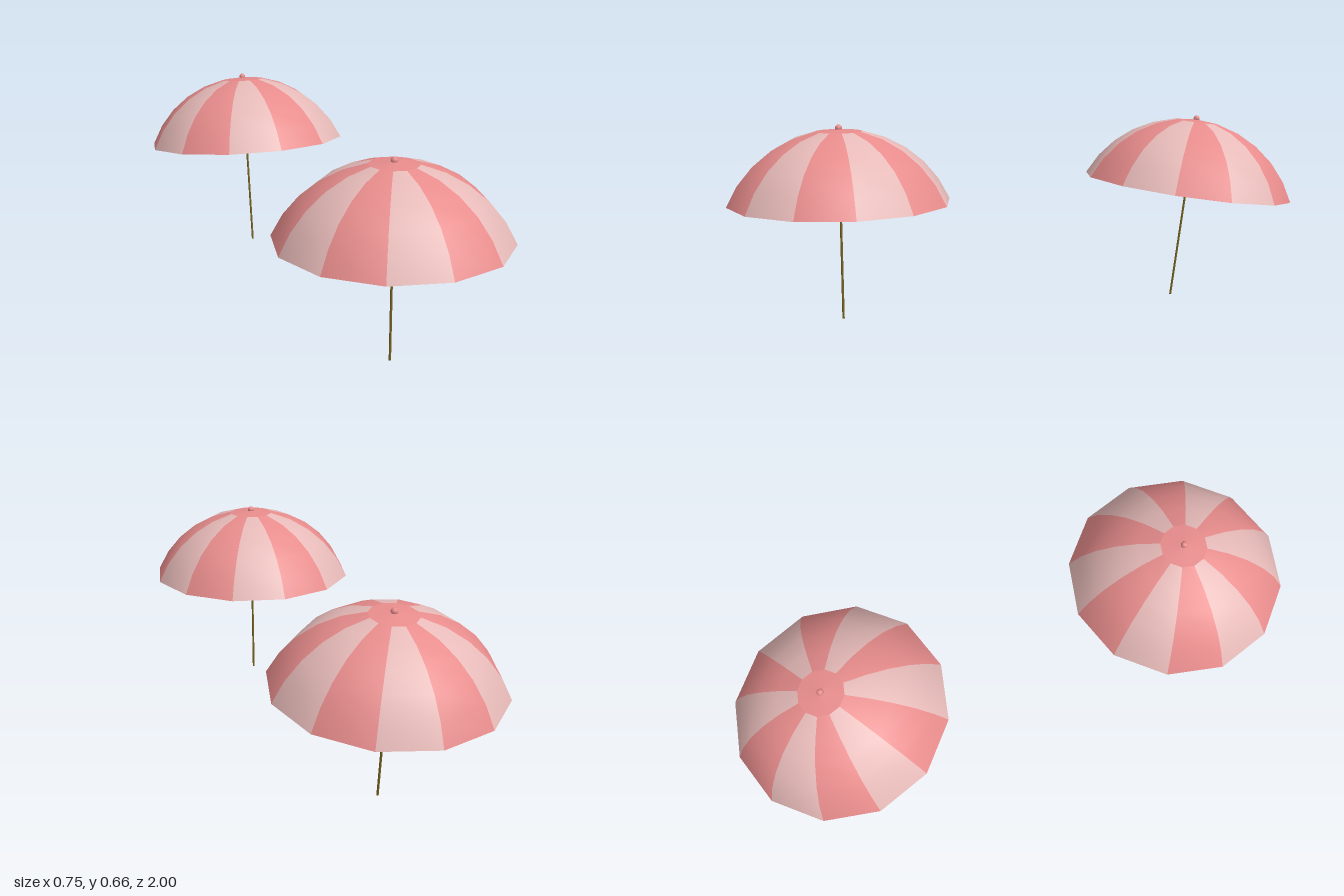
import * as THREE from 'three';

const RIM_Y = 0.4, RIM_R = 0.373, DOME_R = 0.405, DOME_Y = 0.242, SIDES = 12, RINGS = 6;
const GORE = (Math.PI * 2) / SIDES;

const red = new THREE.MeshStandardMaterial({ color: 0xe88c8c, side: THREE.DoubleSide });
const pale = new THREE.MeshStandardMaterial({ color: 0xe6bab8, side: THREE.DoubleSide });
const wood = new THREE.MeshStandardMaterial({ color: 0x7a6420 });

// Points on the dome's arc, from ring a (0 = rim) to ring b (RINGS = crown)
function arc(a, b) {
  const rimAngle = Math.asin(RIM_R / DOME_R);
  const points = [];
  for (let i = a; i <= b; i++) {
    const t = rimAngle * (1 - i / RINGS);
    points.push(new THREE.Vector2(DOME_R * Math.sin(t), DOME_Y + DOME_R * Math.cos(t)));
  }
  return points;
}

function add(parent, name, geometry, material, y = 0) {
  const mesh = new THREE.Mesh(geometry, material);
  mesh.name = name;
  mesh.position.y = y;
  parent.add(mesh);
  return mesh;
}

function createParasol(name) {
  const parasol = new THREE.Group();
  parasol.name = name;

  // Canopy: twelve gores in alternating colours around a plain crown
  const canopy = new THREE.Group();
  canopy.name = 'canopy';
  for (let k = 0; k < SIDES; k++) {
    const gore = new THREE.LatheGeometry(arc(0, RINGS - 1), 1, k * GORE, GORE);
    add(canopy, 'gore', gore, k % 2 ? pale : red);
  }
  add(canopy, 'crown', new THREE.LatheGeometry(arc(RINGS - 1, RINGS), SIDES), red);
  parasol.add(canopy);

  // Pole and the little knob on top
  add(parasol, 'pole', new THREE.CylinderGeometry(0.004, 0.004, 0.645, 8), wood, 0.3225);
  add(parasol, 'knob', new THREE.SphereGeometry(0.012, 8, 6), red, 0.65);
  return parasol;
}

export function createModel() {
  const model = new THREE.Group();
  model.name = 'parasols';

  const upright = createParasol('uprightParasol');
  upright.position.z = 0.627;
  model.add(upright);

  // The rear parasol leans back about the middle of its rim
  const lean = new THREE.Group();
  lean.name = 'leaningParasol';
  lean.position.set(0, RIM_Y, -0.627);
  lean.rotation.x = THREE.MathUtils.degToRad(-7.75);
  const leaning = createParasol('parasol');
  leaning.position.y = -RIM_Y;
  lean.add(leaning);
  model.add(lean);

  return model;
}
